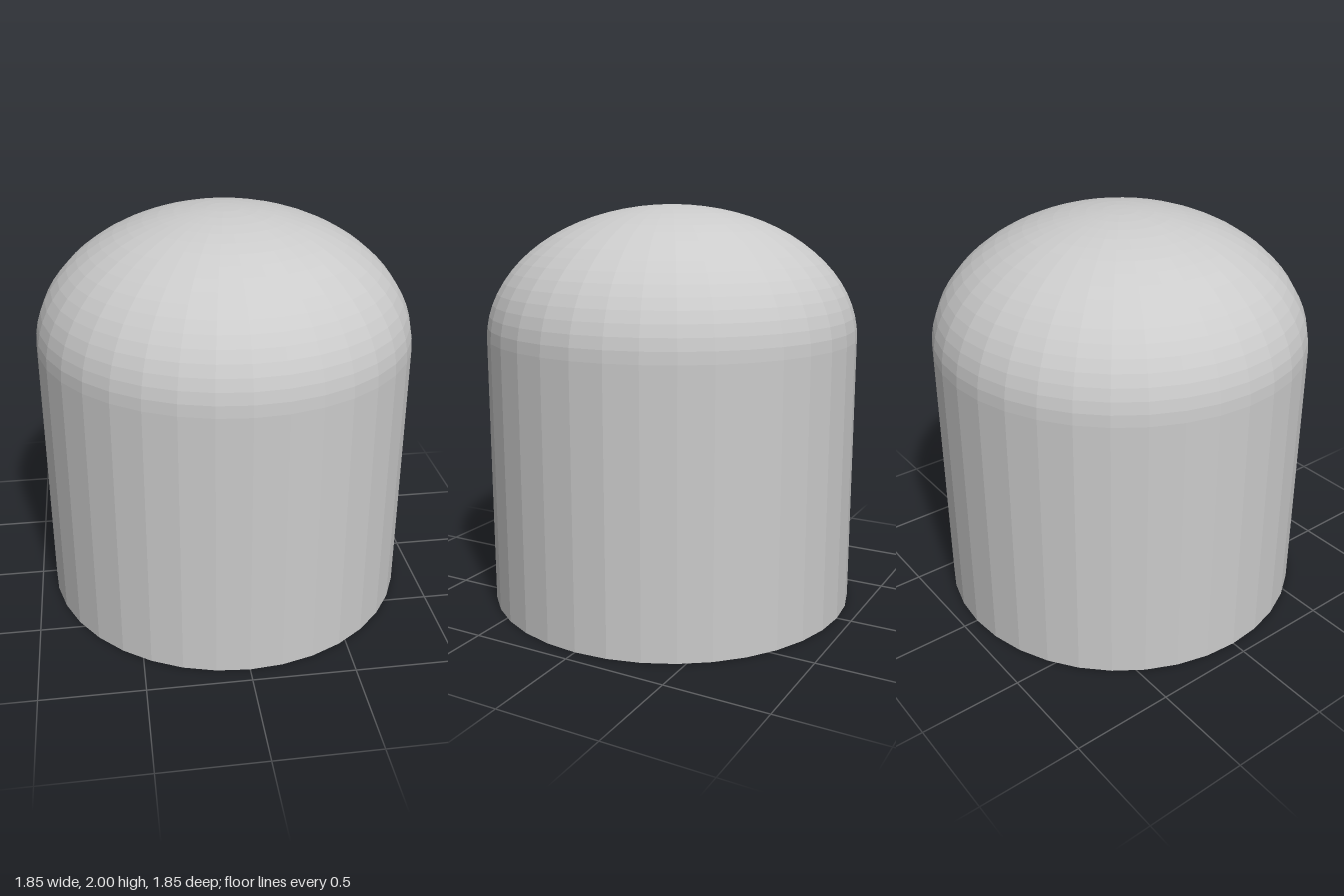
import * as THREE from 'three';

const SIDES = 36;      // facets around the axis
const RINGS = 18;      // facets from dome base to apex
const SHOULDER = 1.35; // height where the straight wall meets the dome

// Quarter ellipse from the shoulder up to the apex
function domeProfile(radius, height) {
  const points = [];
  for (let i = 0; i <= RINGS; i++) {
    const a = (i / RINGS) * Math.PI / 2;
    const r = i === RINGS ? 0 : radius * Math.cos(a);
    points.push(new THREE.Vector2(r, SHOULDER + height * Math.sin(a)));
  }
  return points;
}

export function createModel() {
  const group = new THREE.Group();
  group.name = 'domedCap';

  const outerRadius = 0.927, outerHeight = 0.65, wall = 0.07;
  const innerRadius = outerRadius - wall;

  // Closed wall section: inner apex, down the inside, across the rim, up the outside
  const section = [
    ...domeProfile(innerRadius, outerHeight - wall).reverse(),
    new THREE.Vector2(innerRadius, 0),
    new THREE.Vector2(outerRadius, 0),
    ...domeProfile(outerRadius, outerHeight),
  ];

  // Hollow shell, open at the bottom
  const shell = new THREE.Mesh(
    new THREE.LatheGeometry(section, SIDES),
    new THREE.MeshStandardMaterial({ color: 0xcccccc, flatShading: true })
  );
  shell.name = 'shell';
  group.add(shell);

  return group;
}
